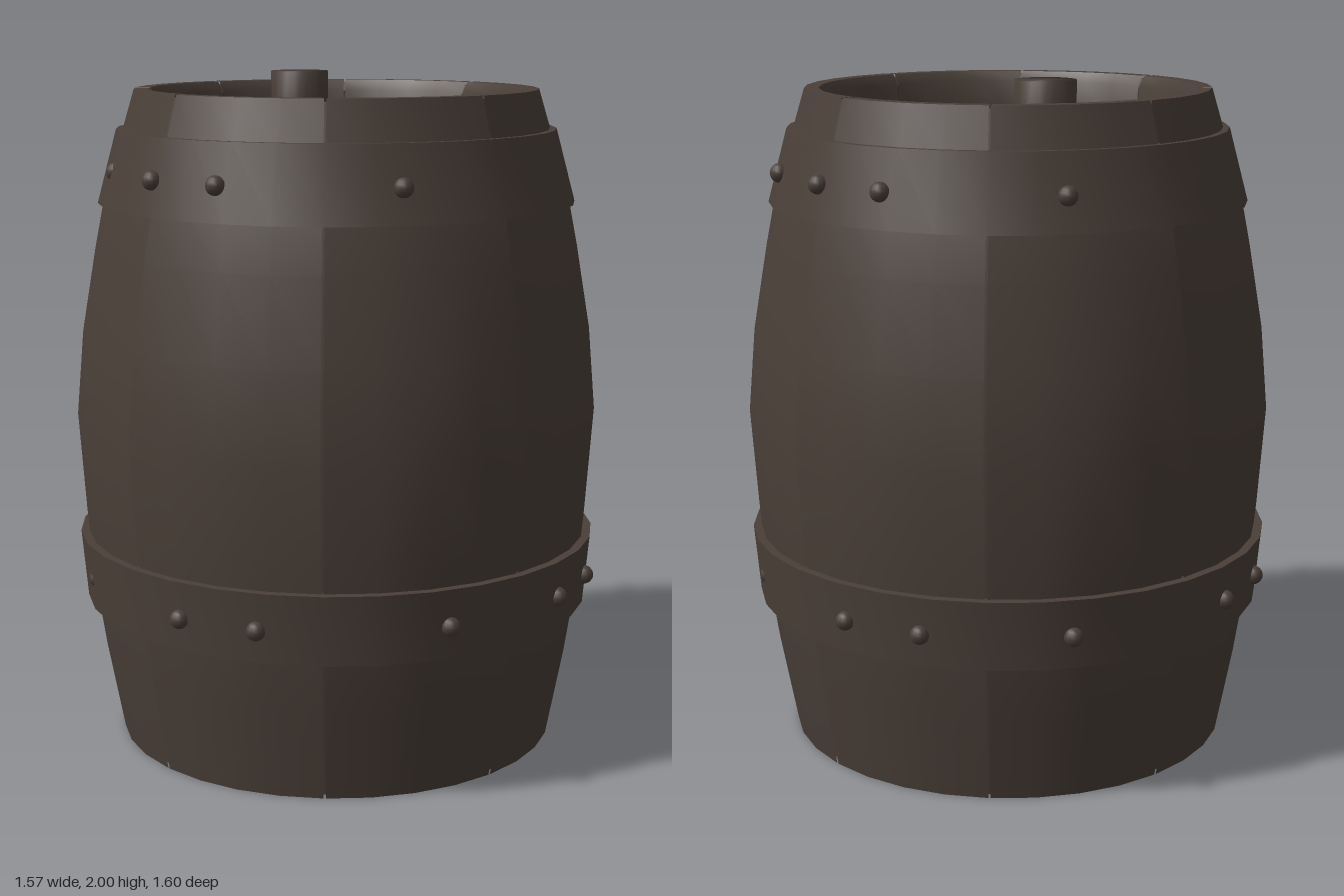
import * as THREE from 'three';
import { toCreasedNormals, mergeVertices } from 'three/addons/utils/BufferGeometryUtils.js';

export function createModel() {
  const model = new THREE.Group();
  model.name = 'barrel';
  const wood = new THREE.MeshStandardMaterial({ color: 0x4a3f38 });
  wood.name = 'darkBrown';

  const add = (name, geometry, parent = model) => {
    const mesh = new THREE.Mesh(geometry, wood);
    mesh.name = name;
    parent.add(mesh);
    return mesh;
  };
  const group = (name) => {
    const g = new THREE.Group();
    g.name = name;
    model.add(g);
    return g;
  };
  const lathe = (points, segments, start = 0, length = Math.PI * 2) =>
    toCreasedNormals(
      new THREE.LatheGeometry(points.map(([r, y]) => new THREE.Vector2(r, y)), segments, start, length), 0.6);

  // Eight bulging staves with narrow gaps
  const outer = [[0.665, 0], [0.715, 0.27], [0.742, 0.45], [0.765, 0.7], [0.785, 1],
    [0.763, 1.25], [0.72, 1.5], [0.69, 1.65], [0.64, 1.82], [0.598, 1.96]];
  const inner = [[0.555, 1.96], [0.535, 1.93], [0.53, 1.78], [0.66, 1], [0.6, 0.09], [0.62, 0], [0.665, 0]];
  const staves = group('staves');
  const step = Math.PI / 4, gap = 0.01;
  for (let i = 0; i < 8; i++) {
    add('stave', lathe([...outer, ...inner], 4, (i + 0.5) * step + gap / 2, step - gap), staves);
  }

  // Continuous lining closes the gaps between staves
  const lining = [...outer.map(([r, y]) => [r - 0.015, y]).slice(0, -1), [0.585, 1.95],
    [0.56, 1.95], [0.54, 1.925], [0.535, 1.78]];
  lining[0][1] = 0.005;
  add('lining', lathe(lining, 32));

  // Recessed lid and base
  const disc = (name, r, y0, y1) => {
    const g = new THREE.CylinderGeometry(r, r, y1 - y0, 32);
    add(name, g).position.y = (y0 + y1) / 2;
  };
  disc('lid', 0.54, 1.78, 1.82);
  disc('base', 0.61, 0.09, 0.13);

  // Stopper with softly shaded edges
  let peg = new THREE.CylinderGeometry(0.088, 0.088, 0.2, 24);
  peg.deleteAttribute('normal');
  peg.deleteAttribute('uv');
  peg = mergeVertices(peg);
  peg.computeVertexNormals();
  add('stopper', peg).position.set(-0.02, 1.9, -0.28);

  // Two hoops
  add('upperHoop', lathe([[0.67, 1.63], [0.71, 1.63], [0.652, 1.845], [0.61, 1.845]], 32));
  add('lowerHoop', lathe([[0.73, 0.43], [0.767, 0.43], [0.785, 0.635], [0.75, 0.635]], 32));

  // Rivets, placed by direction around each hoop
  const rivets = group('rivets');
  const rivet = (x, z, radius, y) => {
    const k = radius / Math.hypot(x, z);
    add('rivet', new THREE.SphereGeometry(0.028, 12, 8), rivets).position.set(x * k, y, z * k);
  };
  for (const s of [1, -1]) {
    for (const [x, z] of [[0.055, -0.685], [0.51, -0.46], [0.64, -0.265]]) rivet(x * s, z * s, 0.687, 1.73);
    for (const t of [1, -1]) {
      rivet(0.63 * s, 0.455 * t, 0.775, 0.525);
      rivet(0.455 * s, 0.62 * t, 0.775, 0.525);
    }
    rivet(0.06, 0.775 * s, 0.773, 0.525);
    rivet(0.775 * s, 0, 0.755, 0.525);
  }
  rivet(0.69, 0.01, 0.687, 1.73);
  rivet(-0.69, -0.03, 0.667, 1.73);

  return model;
}
